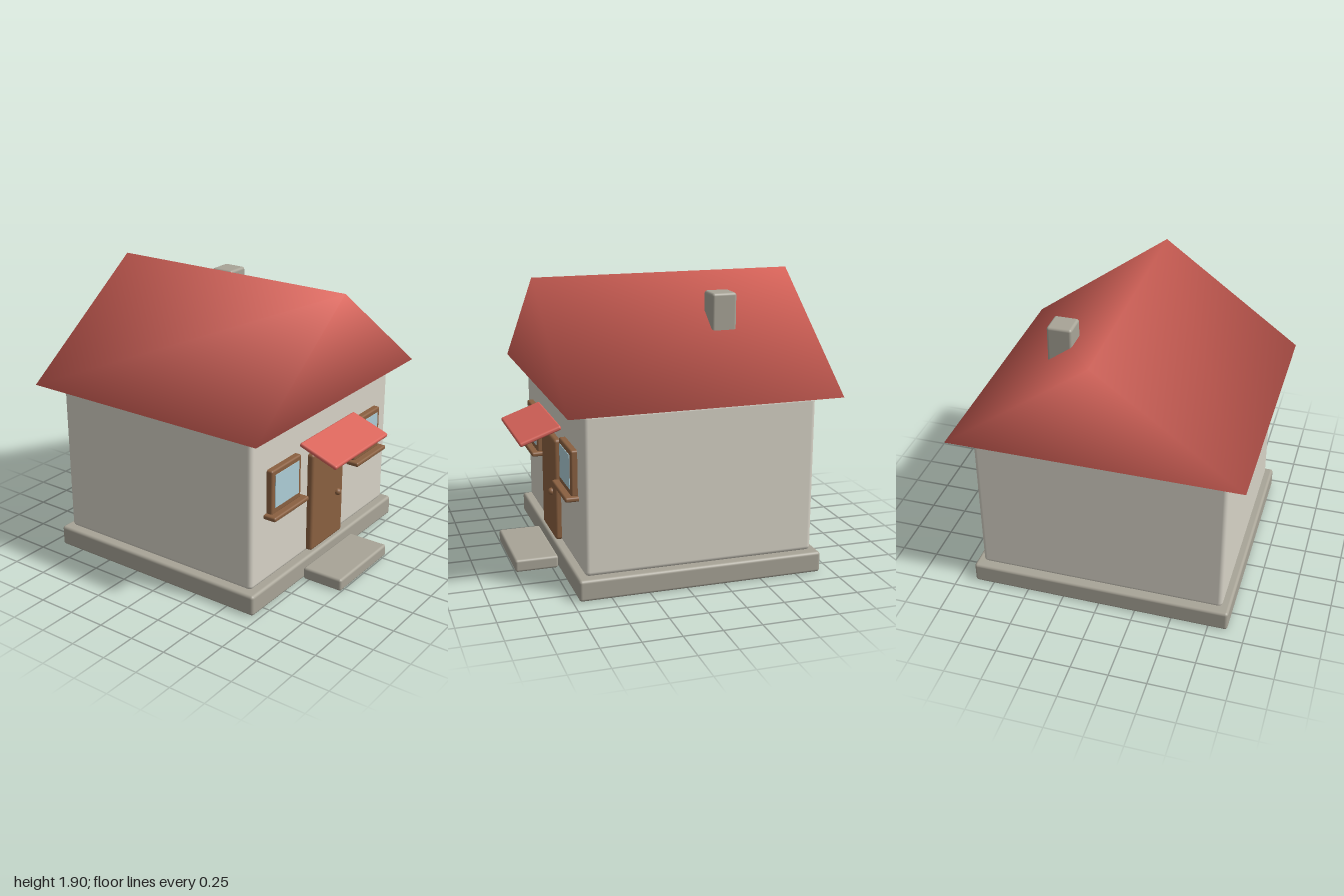
import * as THREE from 'three';
import { RoundedBoxGeometry } from 'three/addons/geometries/RoundedBoxGeometry.js';

const mat = (name, color) => {
  const m = new THREE.MeshStandardMaterial({ color });
  m.name = name;
  return m;
};

// Gable prism sharing six vertices, softly shaded with corner-angle weighted normals
function gablePrism(halfWidth, yBase, yTop, zFront, zBack) {
  const h = yTop - yBase;
  const pitch = Math.atan2(h, halfWidth);
  const right = Math.PI / 2;
  const positions = [], normals = [];
  for (const [z, dir] of [[zFront, 1], [zBack, -1]]) {
    for (const side of [-1, 1, 0]) {
      positions.push(side * halfWidth, side ? yBase : yTop, z);
      const n = side
        ? new THREE.Vector3(side * right * Math.sin(pitch), right * (Math.cos(pitch) - 1), dir * pitch)
        : new THREE.Vector3(0, 2 * right * Math.cos(pitch), dir * (Math.PI - 2 * pitch));
      normals.push(...n.normalize().toArray());
    }
  }
  const g = new THREE.BufferGeometry();
  g.setAttribute('position', new THREE.Float32BufferAttribute(positions, 3));
  g.setAttribute('normal', new THREE.Float32BufferAttribute(normals, 3));
  g.setIndex([0, 1, 2, 4, 3, 5, 1, 4, 5, 1, 5, 2, 3, 0, 2, 3, 2, 5, 3, 4, 1, 3, 1, 0]);
  return g;
}

export function createModel() {
  const house = new THREE.Group();
  house.name = 'house';

  const wall = mat('wallPlaster', 0xd6d2c6);
  const stone = mat('stone', 0xa8a497);
  const red = mat('roofRed', 0xd9645a);
  const wood = mat('wood', 0x8a6040);
  const glass = mat('glass', 0xadcdd6);

  const add = (name, geometry, material, parent = house) => {
    const mesh = new THREE.Mesh(geometry, material);
    mesh.name = name;
    parent.add(mesh);
    return mesh;
  };
  // Rounded box given by its lower and upper limits on each axis
  const box = (name, [x0, x1], [y0, y1], [z0, z1], radius, material, parent) => {
    const mesh = add(name, new RoundedBoxGeometry(x1 - x0, y1 - y0, z1 - z0, 3, radius), material, parent);
    mesh.position.set((x0 + x1) / 2, (y0 + y1) / 2, (z0 + z1) / 2);
    return mesh;
  };

  // Base and walls
  box('foundation', [-0.88, 0.88], [0, 0.14], [-0.92, 0.71], 0.02, stone);
  box('doorStep', [-0.3, 0.3], [0, 0.085], [0.71, 1], 0.017, stone);
  box('walls', [-0.83, 0.83], [0.14, 1.185], [-0.87, 0.66], 0.03, wall);
  add('gableWall', gablePrism(0.83, 1.175, 1.78, 0.66, -0.87), wall);

  // Roof and chimney
  add('roof', gablePrism(0.957, 1.2, 1.9, 0.783, -1), red);
  box('chimney', [0.282, 0.448], [1.4, 1.812], [-0.467, -0.3], 0.018, stone);

  // Door
  box('door', [-0.195, 0.195], [0.155, 0.855], [0.64, 0.702], 0.02, wood);
  const knob = add('doorKnob', new THREE.SphereGeometry(0.024, 20, 14), wood);
  knob.position.set(0.117, 0.477, 0.708);

  // Sloping awning over the door
  const awning = add('awning', new RoundedBoxGeometry(0.66, 0.03, 0.29, 3, 0.013), red);
  awning.position.set(0, 0.926, 0.816);
  awning.rotation.x = 0.345;

  // Windows, one on each side of the door
  for (const [side, label] of [[1, 'left'], [-1, 'right']]) {
    const unit = new THREE.Group();
    unit.name = label + 'Window';
    unit.position.x = side * 0.5;
    house.add(unit);
    box('windowFrame', [-0.165, 0.165], [0.615, 0.918], [0.64, 0.702], 0.013, wood, unit);
    box('windowSill', [-0.195, 0.195], [0.593, 0.624], [0.65, 0.748], 0.012, wood, unit);
    const pane = add('windowPane', new THREE.BoxGeometry(0.264, 0.224, 0.008), glass, unit);
    pane.position.set(0, 0.772, 0.702);
  }
  return house;
}
